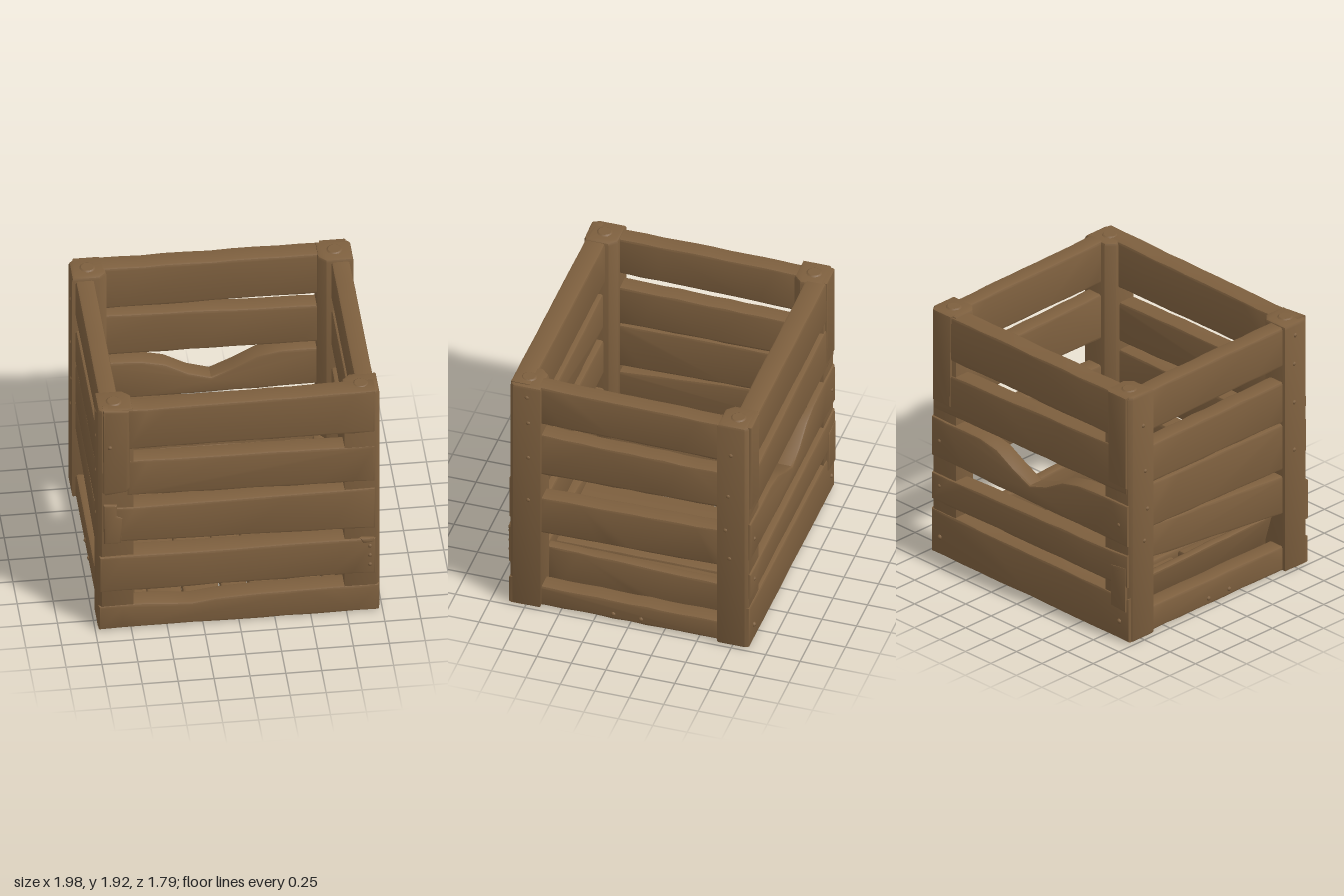
import * as THREE from 'three';
import { toCreasedNormals } from 'three/addons/utils/BufferGeometryUtils.js';

export function createModel() {
  const crate = new THREE.Group();
  crate.name = 'crate';
  const wood = new THREE.MeshStandardMaterial({ color: 0x7d5f3e });
  wood.name = 'brown wood';

  let seed = 7;
  const rand = () => (seed = (seed * 16807) % 2147483647) / 2147483647;
  const jitter = (a) => (rand() - 0.5) * 2 * a;

  const add = (name, geometry, x = 0, y = 0, z = 0) => {
    const mesh = new THREE.Mesh(geometry, wood);
    mesh.name = name;
    mesh.position.set(x, y, z);
    crate.add(mesh);
  };

  // Bevelled extrusion of an outline, centred in depth
  const slab = (points, depth, bevel = 0.018) => {
    const shape = new THREE.Shape(points.map(([x, y]) => new THREE.Vector2(x, y)));
    const g = new THREE.ExtrudeGeometry(shape, {
      depth: depth - 2 * bevel, bevelThickness: bevel, bevelSize: bevel,
      bevelOffset: -bevel, bevelSegments: 2,
    });
    g.translate(0, 0, bevel - depth / 2);
    return toCreasedNormals(g, 0.7);
  };

  // Uneven board from x0 to x1; each end gives [bottom, top]; dip lowers the top edge
  const board = (x0, x1, [b0, t0], [b1, t1], depth, dip = () => 0) => {
    const n = 12, low = [], high = [];
    for (let i = 0; i <= n; i++) {
      const t = i / n, x = x0 + (x1 - x0) * t;
      low.push([x, Math.max(0, b0 + (b1 - b0) * t + jitter(0.004))]);
      high.push([x, t0 + (t1 - t0) * t - dip(x) + jitter(0.004)]);
    }
    return slab([...low, ...high.reverse()], depth);
  };

  // Lean a board's lower edge along its thickness
  const lean = (g, amount, yTop) => {
    const p = g.attributes.position;
    for (let i = 0; i < p.count; i++) p.setZ(i, p.getZ(i) + amount * Math.max(0, yTop - p.getY(i)));
    return toCreasedNormals(g, 0.7);
  };

  // Corner posts with a cut inner corner, and bolts at both ends
  for (const sx of [-1, 1]) for (const sz of [-1, 1]) {
    const outline = [
      [0.955, 0.865], [0.98, 0.84], [0.98, 0.64], [0.79, 0.64], [0.735, 0.695], [0.735, 0.865],
    ].map(([x, z]) => [sx * x, -sz * z]);
    const g = slab(outline, 1.91, 0.022);
    g.rotateX(-Math.PI / 2);
    add('cornerPost', g, 0, 0.957, 0);
    add('postBolt', new THREE.CylinderGeometry(0.045, 0.06, 0.01, 14), sx * 0.86, 1.914, sz * 0.76);
    add('footBolt', new THREE.CylinderGeometry(0.05, 0.045, 0.008, 14), sx * 0.86, 0.004, sz * 0.76);
  }

  // Front slats: x range, left [bottom, top], right [bottom, top], thickness, outer z, dip
  const wornTop = (x) => 0.03 * Math.exp(-(((x + 0.35) / 0.2) ** 2));
  const frontSlats = [
    [-0.78, 0.95, [1.565, 1.9], [1.555, 1.915], 0.15, 0.87],
    [-0.78, 0.95, [1.16, 1.46], [1.13, 1.44], 0.14, 0.872],
    [-0.88, 0.95, [0.77, 1.06], [0.725, 1.075], 0.15, 0.88],
    [-0.97, 0.95, [0.34, 0.64], [0.34, 0.64], 0.16, 0.885],
    [-0.975, 0.975, [0.01, 0.21], [0.01, 0.23], 0.15, 0.875, wornTop],
  ];
  for (const [x0, x1, l, r, d, z, dip] of frontSlats) add('frontSlat', board(x0, x1, l, r, d, dip), 0, 0, z - d / 2);
  add('frontPlate', slab([[-0.95, 1.2], [-0.93, 1.18], [-0.78, 1.2], [-0.755, 1.24], [-0.765, 1.9], [-0.945, 1.915]], 0.1), 0, 0, 0.832);
  add('frontPatch', slab([[-0.94, 0.76], [-0.82, 0.76], [-0.81, 0.98], [-0.85, 1.0], [-0.85, 1.09], [-0.945, 1.1]], 0.08), 0, 0, 0.85);
  add('frontPatch', slab([[0.86, 0.6], [0.94, 0.61], [0.94, 0.645], [0.84, 0.65]], 0.06), 0, 0, 0.86);

  // Back slats, the third one broken away along its top
  const brokenTop = (x) => 0.19 * Math.exp(-(((x + 0.02) / 0.26) ** 2));
  const backSlats = [
    [0.95, [1.565, 1.91], [1.56, 1.9], 0.15, 0.875],
    [0.95, [1.15, 1.5], [1.13, 1.44], 0.14, 0.875],
    [0.96, [0.75, 1.07], [0.76, 1.07], 0.14, 0.882, brokenTop],
    [0.96, [0.43, 0.68], [0.42, 0.63], 0.14, 0.882],
    [0.97, [0.01, 0.345], [0.01, 0.345], 0.14, 0.875],
  ];
  for (const [w, l, r, d, z, dip] of backSlats) add('backSlat', board(-w, w, l, r, d, dip), 0, 0, d / 2 - z);
  add('backInnerBoard', lean(board(-0.69, 0.68, [0.1, 0.31], [0.1, 0.29], 0.08), 0.7, 0.31), 0, 0, -0.765);
  for (const sx of [-1, 1]) {
    add('backPlate', slab([[0.775, 1.2], [0.95, 1.2], [0.95, 1.91], [0.765, 1.91]].map(([x, y]) => [sx * x, y]), 0.1), 0, 0, -0.835);
  }
  add('backPatch', slab([[-0.95, 0.24], [-0.8, 0.25], [-0.8, 0.57], [-0.95, 0.59]], 0.08), 0, 0, -0.85);

  // Side slats: [bottom, top] at the back end, then at the front end
  const sideSlats = {
    right: [
      [[1.575, 1.89], [1.59, 1.91]],
      [[1.17, 1.47], [1.15, 1.5]],
      [[0.66, 0.97], [0.64, 0.95]],
      [[0.01, 0.17], [0.015, 0.18]],
    ],
    left: [
      [[1.575, 1.89], [1.6, 1.9]],
      [[1.17, 1.46], [1.16, 1.48]],
      [[0.82, 1.155], [0.79, 1.15]],
      [[0.59, 0.84], [0.44, 0.74]],
      [[0.01, 0.2], [0.01, 0.2]],
    ],
  };
  for (const [side, slats] of Object.entries(sideSlats)) {
    const s = side === 'right' ? 1 : -1;
    for (const [back, front] of slats) {
      const g = board(-0.72, 0.72, back, front, 0.13);
      g.rotateY(-Math.PI / 2);
      add(side + 'SideSlat', g, s * 0.89, 0, 0);
    }
  }

  // Loose boards standing inside the two sides, the left one leaning
  const rightInner = board(-0.7, 0.65, [0.1, 0.355], [0.1, 0.4], 0.08);
  rightInner.rotateY(-Math.PI / 2);
  add('rightInnerBoard', rightInner, 0.74, 0, 0);
  const leftInner = lean(board(-0.7, 0.68, [0.1, 0.355], [0.1, 0.4], 0.07), -0.3, 0.4);
  leftInner.rotateY(-Math.PI / 2);
  add('leftInnerBoard', leftInner, -0.815, 0, 0);

  // Floor planks running front to back, some with a missing middle
  const floorPlank = (x0, x1, z0, z1) => {
    const w = x1 - x0;
    const g = board(z0, z1, [0, w], [0, w], 0.09);
    g.translate(0, -w / 2, 0);
    g.rotateX(Math.PI / 2);
    g.rotateY(-Math.PI / 2);
    add('floorPlank', g, (x0 + x1) / 2, 0.07, 0);
  };
  for (const [x0, x1] of [[-0.36, -0.11], [-0.095, 0.085], [0.1, 0.35], [0.36, 0.6]]) floorPlank(x0, x1, -0.78, 0.78);
  for (const [x0, x1] of [[-0.86, -0.61], [-0.612, -0.37], [0.61, 0.86]]) {
    floorPlank(x0, x1, -0.78, -0.2);
    floorPlank(x0, x1, 0.2, 0.78);
  }
  const cross = slab([[-0.86, -0.16], [0.86, -0.16], [0.86, 0.15], [-0.86, 0.15]], 0.07);
  cross.rotateX(Math.PI / 2);
  add('floorCrossBoard', cross, 0, 0.045, 0);

  // Nail heads on the posts and slat ends
  const nail = new THREE.SphereGeometry(0.018, 8, 6);
  for (const s of [-1, 1]) {
    for (const [z, y] of [[0.74, 1.82], [0.73, 1.6], [0.73, 1.3], [0.73, 0.93], [-0.74, 1.66], [-0.72, 1.3], [-0.7, 1.0], [-0.73, 0.76]])
      add('sideNail', nail, s * 0.972, y, z);
    for (const z of [0.12, -0.08]) add('sideNail', nail, s * 0.95, 0.06, z);
  }
  add('frontNail', nail, -0.9, 1.6, 0.876);
  for (const y of [0.42, 0.5, 0.58]) add('frontNail', nail, 0.91, y, 0.876);
  for (const y of [0.9, 0.55, 0.15]) for (const s of [-1, 1]) add('backNail', nail, s * 0.88, y, -0.874);

  return crate;
}
